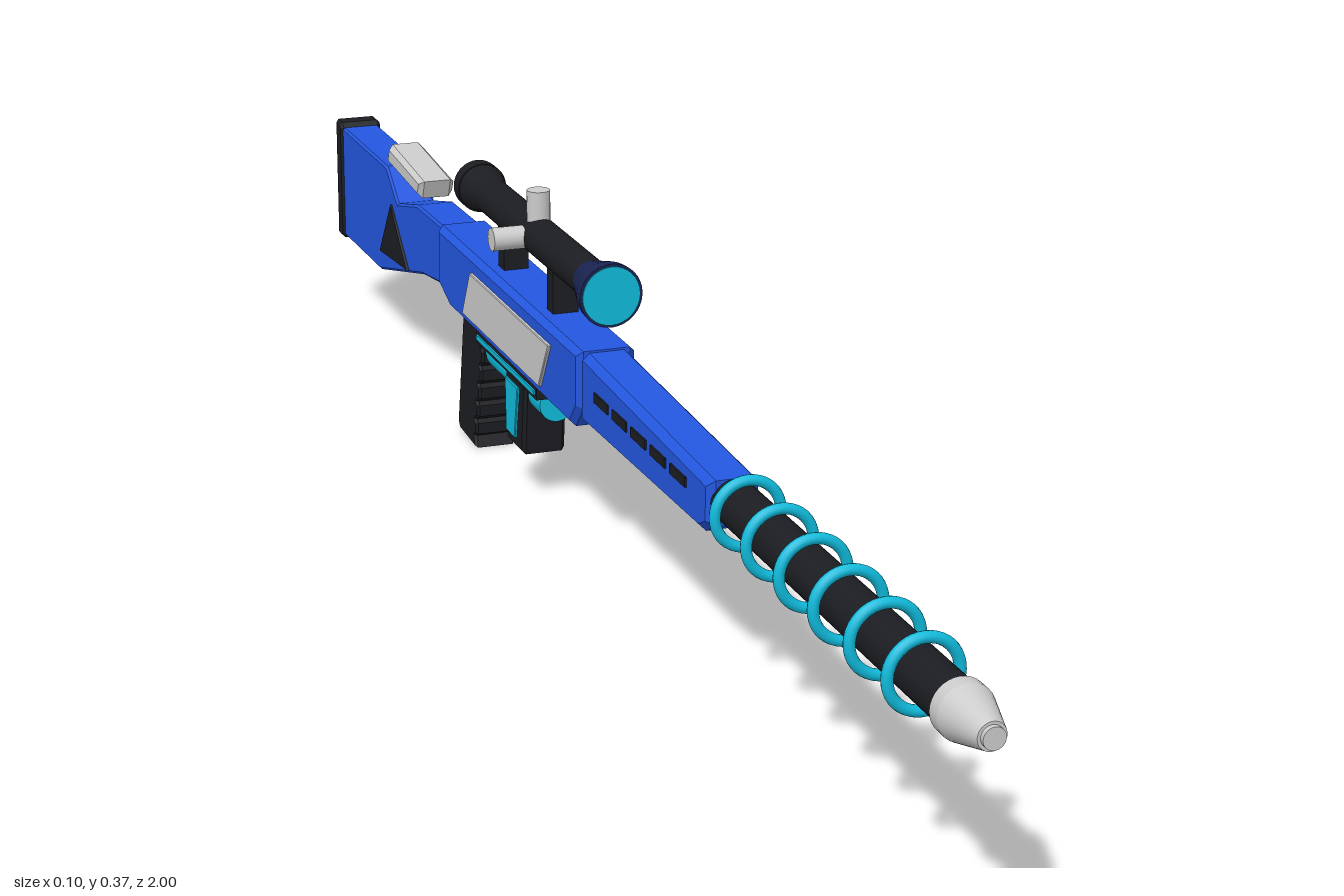
import * as THREE from 'three';

const mat = (color) => new THREE.MeshStandardMaterial({ color });
const BLUE = mat(0x2457e0), CYAN = mat(0x10bbdc), BLACK = mat(0x1c1d22), NAVY = mat(0x1a2452), GREY = mat(0xcccccc);

const AXIS_X = 0.007; // the side knob shifts the long axis off centre
const BORE_Y = 0.21, SCOPE_Y = 0.316;

export function createModel() {
  const model = new THREE.Group();
  const body = new THREE.Group();
  body.name = 'rifle';
  body.position.x = AXIS_X;
  model.add(body);

  function add(name, geometry, material, x = 0, y = 0, z = 0) {
    const mesh = new THREE.Mesh(geometry, material);
    mesh.name = name;
    mesh.position.set(x, y, z);
    body.add(mesh);
    return mesh;
  }

  // Side profile of [z, y] points, extruded across x with chamfered edges
  function slab(name, points, width, bevel, material, x = 0) {
    const shape = new THREE.Shape(points.map(([z, y]) => new THREE.Vector2(z, y)));
    const geometry = new THREE.ExtrudeGeometry(shape, {
      depth: width - 2 * bevel, bevelEnabled: bevel > 0, bevelThickness: bevel,
      bevelSize: bevel, bevelOffset: -bevel, bevelSegments: 1,
    });
    geometry.translate(0, 0, -(width - 2 * bevel) / 2);
    geometry.rotateY(-Math.PI / 2);
    return add(name, geometry, material, x);
  }

  // Cylinder along z; the front radius faces +z
  function rod(name, rFront, rBack, zFront, zBack, y, material) {
    const geometry = new THREE.CylinderGeometry(rFront, rBack, zFront - zBack, 32);
    geometry.rotateX(Math.PI / 2);
    return add(name, geometry, material, 0, y, (zFront + zBack) / 2);
  }

  // Barrel, muzzle and coil rings
  rod('barrel', 0.024, 0.024, 0.94, 0.38, BORE_Y, BLACK);
  rod('muzzleCollar', 0.028, 0.028, 0.945, 0.93, BORE_Y, GREY);
  rod('muzzleCone', 0.014, 0.028, 0.995, 0.945, BORE_Y, GREY);
  rod('muzzleTip', 0.011, 0.011, 1, 0.995, BORE_Y, GREY);
  for (let i = 0; i < 6; i++) {
    add('coilRing', new THREE.TorusGeometry(0.035, 0.0058, 12, 40), CYAN, 0, BORE_Y, 0.858 - 0.0825 * i);
  }

  // Forend with a row of dark vents on both sides
  slab('forend', [[0.41, 0.234], [0.02, 0.249], [0.02, 0.166], [0.385, 0.172], [0.41, 0.185]], 0.056, 0.008, BLUE);
  for (const side of [-1, 1]) {
    for (let i = 0; i < 5; i++) {
      add('vent', new THREE.BoxGeometry(0.004, 0.011, 0.044), BLACK, side * 0.028, 0.212, 0.327 - 0.0585 * i);
    }
  }

  // Receiver and its slanted side panels
  slab('receiver', [[0.03, 0.251], [-0.5, 0.251], [-0.5, 0.175], [-0.45, 0.157], [0.005, 0.157], [0.03, 0.185]], 0.068, 0.007, BLUE);
  for (const side of [-1, 1]) {
    slab('sidePanel', [[-0.06, 0.231], [-0.355, 0.231], [-0.387, 0.172], [-0.095, 0.172]], 0.006, 0.001, GREY, side * 0.035);
  }

  // Stock, butt pad, cheek rest and triangular insets
  slab('stock', [
    [-0.48, 0.246], [-0.62, 0.244], [-0.71, 0.222], [-0.76, 0.259], [-0.98, 0.259],
    [-0.98, 0.106], [-0.8, 0.108], [-0.6, 0.158], [-0.48, 0.174],
  ], 0.05, 0.003, BLUE);
  slab('buttPad', [[-0.972, 0.259], [-0.978, 0.265], [-1, 0.265], [-1, 0.103], [-0.978, 0.103], [-0.972, 0.109]], 0.056, 0.004, BLACK);
  slab('cheekRest', [[-0.61, 0.276], [-0.755, 0.289], [-0.765, 0.263], [-0.62, 0.252]], 0.046, 0.006, GREY);
  for (const side of [-1, 1]) {
    slab('stockInset', [[-0.66, 0.146], [-0.735, 0.214], [-0.79, 0.137]], 0.006, 0.001, BLACK, side * 0.025);
  }

  // Underside: housing, power cell and magazine
  add('lowerHousing', new THREE.BoxGeometry(0.054, 0.02, 0.23), BLACK, 0, 0.151, -0.25);
  add('housingStrip', new THREE.BoxGeometry(0.058, 0.006, 0.22), CYAN, 0, 0.149, -0.25);
  rod('powerCell', 0.021, 0.021, -0.14, -0.345, 0.132, CYAN);
  slab('magazine', [[-0.18, 0.155], [-0.255, 0.155], [-0.25, 0.056], [-0.19, 0.056]], 0.052, 0.004, BLACK);
  for (const side of [-1, 1]) {
    slab('magazinePanel', [[-0.2, 0.135], [-0.247, 0.135], [-0.244, 0.07], [-0.212, 0.07]], 0.006, 0.001, CYAN, side * 0.026);
  }

  // Raked grip with ribs along its front edge
  const ribs = [];
  for (let i = 0; i < 5; i++) {
    const y = 0.014 + 0.025 * i, z = -0.384 + 0.0285 * i / 4;
    ribs.push([z, y], [z + 0.007, y + 0.004], [z + 0.008, y + 0.018], [z + 0.002, y + 0.022]);
  }
  slab('grip', [
    [-0.445, 0.003], [-0.378, 0], ...ribs, [-0.348, 0.16], [-0.425, 0.16], [-0.452, 0.012],
  ], 0.05, 0.003, BLACK);

  // Scope with flared ends, lens, mounts and knobs
  rod('scopeTube', 0.022, 0.022, 0.0, -0.41, SCOPE_Y, BLACK);
  rod('scopeFrontFlare', 0.035, 0.022, 0.03, -0.02, SCOPE_Y, NAVY);
  rod('scopeFrontRim', 0.036, 0.035, 0.044, 0.03, SCOPE_Y, NAVY);
  rod('frontLens', 0.033, 0.033, 0.0455, 0.04, SCOPE_Y, CYAN);
  rod('scopeRearFlare', 0.022, 0.029, -0.385, -0.42, SCOPE_Y, BLACK);
  rod('scopeRearRim', 0.03, 0.03, -0.42, -0.44, SCOPE_Y, BLACK);
  for (const z of [-0.12, -0.3]) {
    add('scopeMount', new THREE.BoxGeometry(0.03, 0.06, 0.022), BLACK, 0, 0.275, z);
  }
  const knob = new THREE.CylinderGeometry(0.0135, 0.0135, 0.038, 24);
  add('topKnob', knob, GREY, 0, 0.351, -0.205);
  add('sideKnob', knob, GREY, -0.038, SCOPE_Y, -0.205).rotation.z = Math.PI / 2;

  return model;
}
